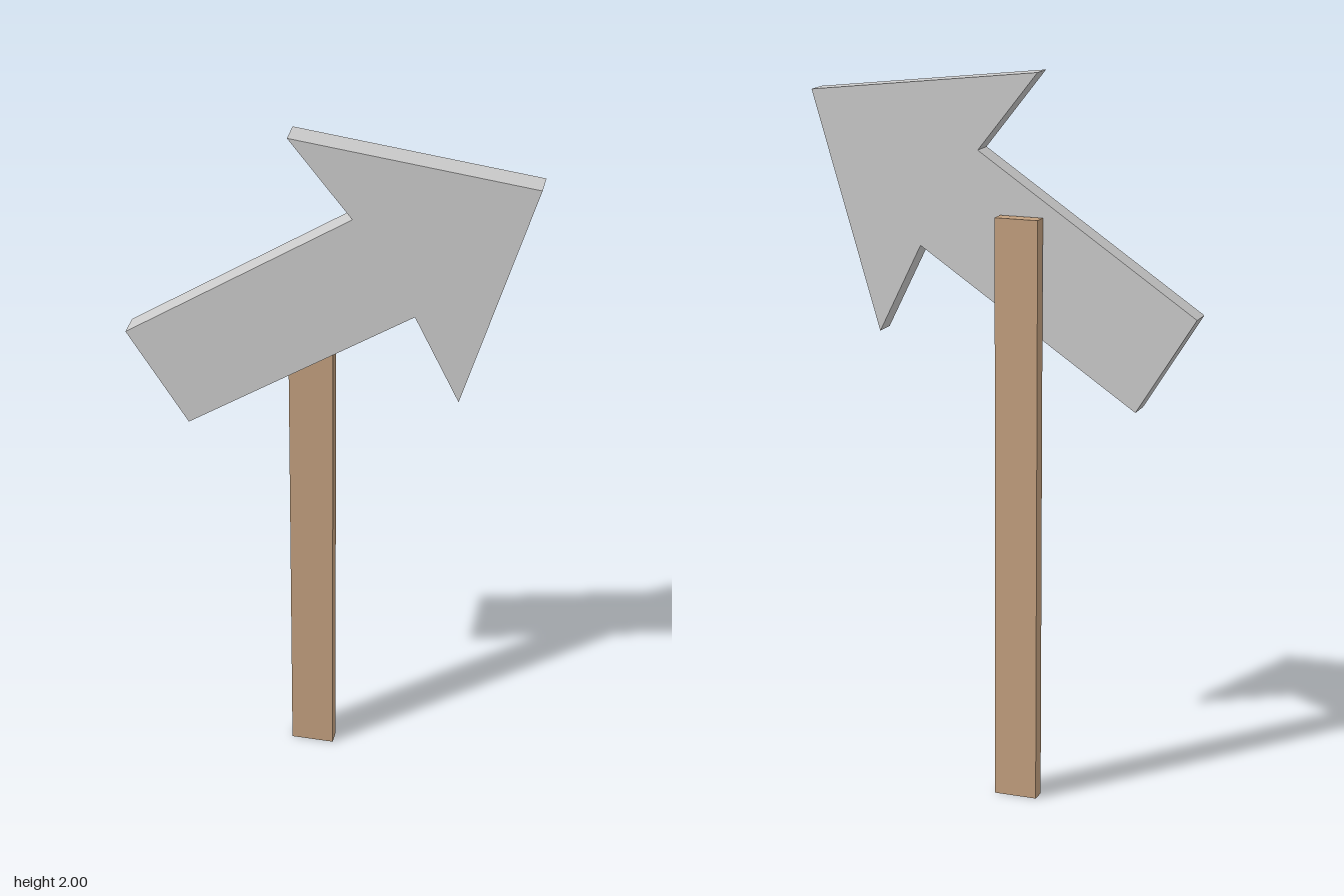
import * as THREE from 'three';

export function createModel() {
  const group = new THREE.Group();

  // Wooden post behind the arrow
  const post = new THREE.Mesh(
    new THREE.BoxGeometry(0.12, 1.62, 0.04),
    new THREE.MeshStandardMaterial({ color: 0xc4a17f })
  );
  post.name = 'post';
  post.position.set(-0.06, 0.81, -0.035);
  group.add(post);

  // Tilted arrow board: tail, lower barb, tip, upper barb
  const outline = [
    [-0.545, 1.378], [-0.38, 1.115], [0.23, 1.522], [0.35, 1.278],
    [0.542, 1.926], [-0.102, 2.0], [0.065, 1.788],
  ].map(([x, y]) => new THREE.Vector2(x, y));
  const arrow = new THREE.Mesh(
    new THREE.ExtrudeGeometry(new THREE.Shape(outline), { depth: 0.065, bevelEnabled: false }),
    new THREE.MeshStandardMaterial({ color: 0xcccccc })
  );
  arrow.name = 'arrowBoard';
  arrow.position.z = -0.01;
  group.add(arrow);

  return group;
}
